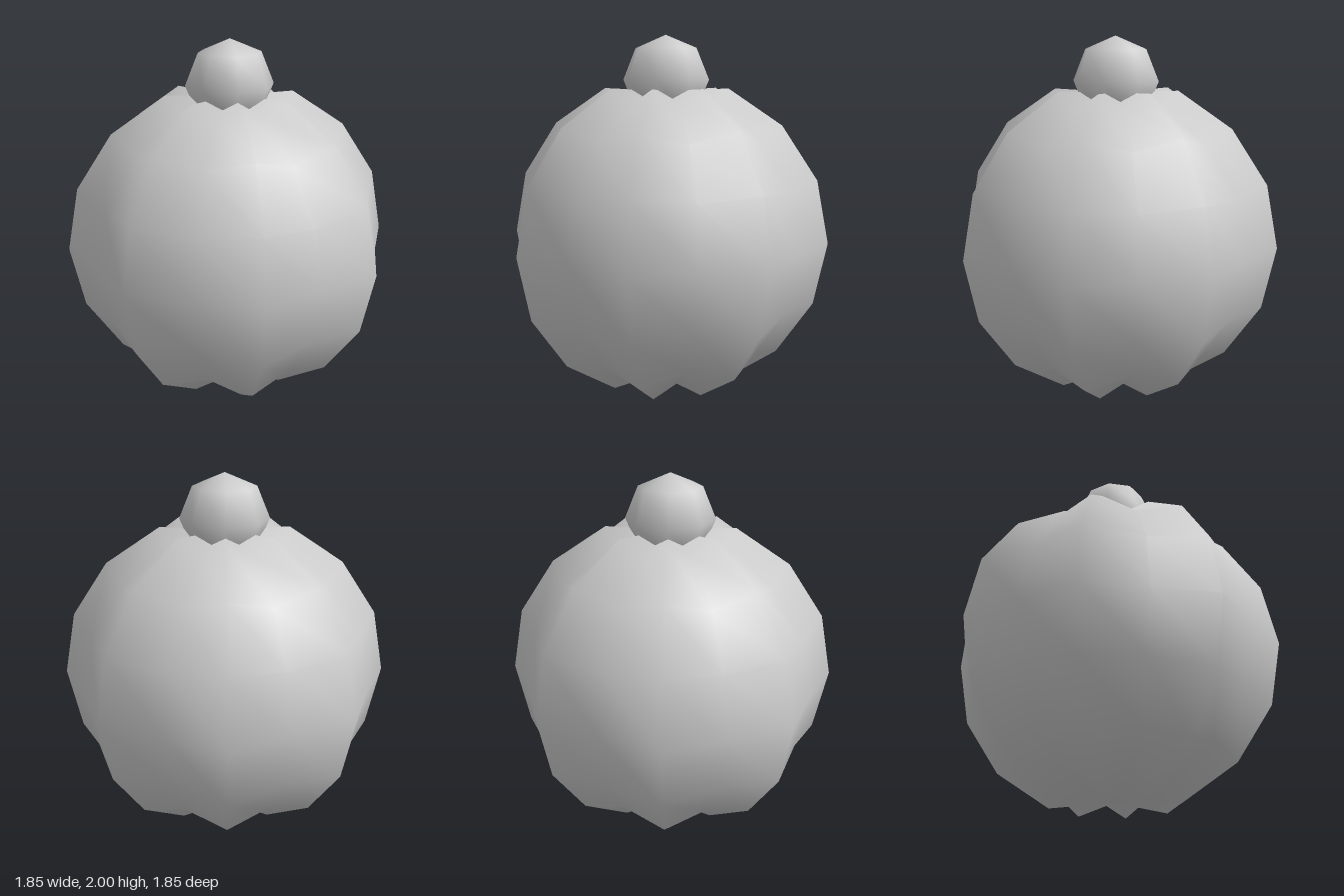
import * as THREE from 'three';

const RADIUS = 0.924;
const VALLEY = 0.907; // scale of the grooves between the ridges
const CENTRE_Y = RADIUS * Math.cos(Math.PI / 8); // lowest ridge corners rest on y = 0

// Sphere whose every other meridian, and both poles, are drawn inwards
function ribbedSphere(radius, columns, rows) {
  const geometry = new THREE.SphereGeometry(radius, columns, rows);
  const position = geometry.attributes.position;
  const v = new THREE.Vector3();
  for (let row = 0; row <= rows; row++) {
    for (let column = 0; column <= columns; column++) {
      const i = row * (columns + 1) + column;
      const pole = row === 0 || row === rows;
      if (!pole && column % 2 === 0) continue;
      v.fromBufferAttribute(position, i).multiplyScalar(VALLEY);
      position.setXYZ(i, v.x, v.y, v.z);
    }
  }
  return geometry; // keeps the round sphere's smooth normals
}

export function createModel() {
  const model = new THREE.Group();
  model.name = 'ribbedBall';
  const material = new THREE.MeshStandardMaterial({ color: 0xcccccc });

  // Ribbed body with eight ridges
  const body = new THREE.Mesh(ribbedSphere(RADIUS, 16, 8), material);
  body.name = 'body';
  body.position.y = CENTRE_Y;
  model.add(body);

  // Small round knob sunk into the top
  const knob = new THREE.Mesh(new THREE.SphereGeometry(0.245, 8, 4), material);
  knob.name = 'knob';
  knob.position.y = 2 - 0.245;
  model.add(knob);

  return model;
}
